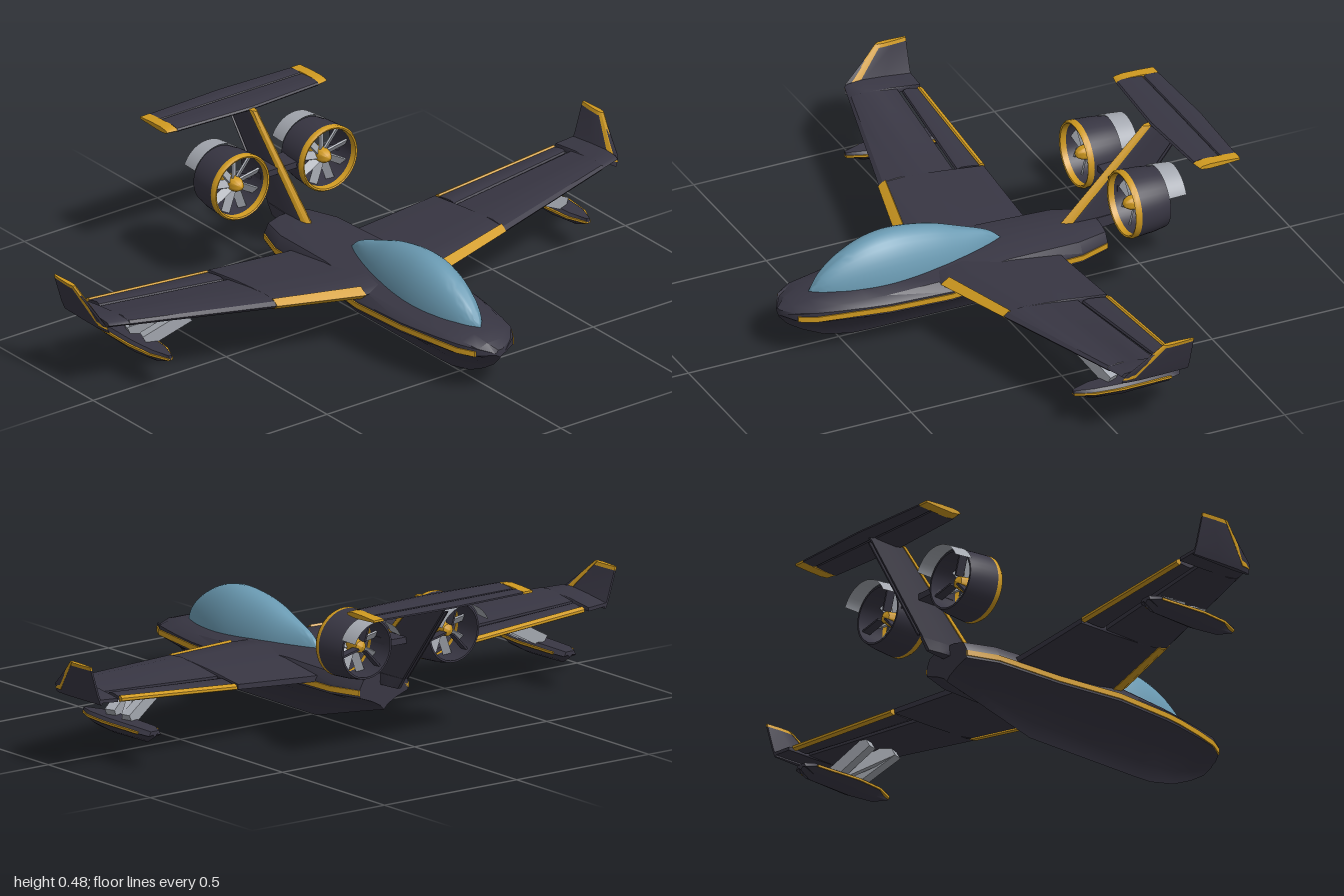
import * as THREE from 'three';
import { toCreasedNormals } from 'three/addons/utils/BufferGeometryUtils.js';

const mat = (name, color) => {
  const m = new THREE.MeshStandardMaterial({ color, side: THREE.DoubleSide });
  m.name = name;
  return m;
};

// Skin a list of equal-length closed rings of [x, y, z], with both ends capped
function loft(rings, crease = 0.6) {
  const n = rings[0].length, pos = rings.flat(2), idx = [];
  for (let i = 0; i < rings.length - 1; i++)
    for (let j = 0; j < n; j++) {
      const a = i * n + j, b = i * n + (j + 1) % n;
      idx.push(a, b, a + n, b, b + n, a + n);
    }
  [0, rings.length - 1].forEach((r, end) => {
    const c = pos.length / 3;
    pos.push(...[0, 1, 2].map(k => rings[r].reduce((s, p) => s + p[k], 0) / n));
    for (let j = 0; j < n; j++) {
      const a = r * n + j, b = r * n + (j + 1) % n;
      if (end) idx.push(a, b, c); else idx.push(b, a, c);
    }
  });
  // Turn the faces outward if the enclosed volume is negative
  const v = i => new THREE.Vector3().fromArray(pos, i * 3);
  let vol = 0;
  for (let i = 0; i < idx.length; i += 3) vol += v(idx[i]).dot(v(idx[i + 1]).cross(v(idx[i + 2])));
  if (vol < 0) idx.reverse();
  const g = new THREE.BufferGeometry();
  g.setAttribute('position', new THREE.Float32BufferAttribute(pos, 3));
  g.setIndex(idx);
  return toCreasedNormals(g, crease);
}

// Aerofoil outlines as [chord fraction, thickness fraction]
const FOIL = [[1, -0.2], [0.6, -0.4], [0.25, -0.5], [0.05, -0.3], [0, 0], [0.05, 0.3], [0.25, 0.5], [0.6, 0.42], [1, 0.2]];
const EDGE = [[0.13, -0.52], [0.05, -0.4], [-0.01, 0], [0.05, 0.4], [0.06, 0.46]];
const FIN_EDGE = [[0.16, -0.56], [0.05, -0.4], [-0.01, 0], [0.05, 0.4], [0.16, 0.56]];
// Level section (thickness in y) and upright section (thickness in z)
const level = (z, y, le, te, t, prof = FOIL, drop = 0) =>
  prof.map(([f, h]) => [le - (le - te) * f, y + h * t - drop * (le - te) * f, z]);
const upright = (y, z, le, te, t, prof = FOIL) =>
  prof.map(([f, h]) => [le - (le - te) * f, y, z + h * t]);

export function createModel() {
  const model = new THREE.Group();
  const dark = mat('darkPaint', 0x383643), yellow = mat('yellowTrim', 0xd09a20);
  const glass = mat('blueGlass', 0x6a9ab2), grey = mat('greyMetal', 0xa4a8b0);
  const add = (name, geo, m, parent = model) => {
    const mesh = new THREE.Mesh(geo, m);
    mesh.name = name;
    parent.add(mesh);
    return mesh;
  };

  // Flying-boat hull: x, keel height, half width, deck height
  const hull = [
    [-0.35, 0.09, 0.09, 0.205], [-0.25, 0.065, 0.125, 0.21], [-0.02, 0.005, 0.133, 0.215],
    [0.2, 0.005, 0.16, 0.21], [0.4, 0.005, 0.147, 0.2], [0.46, 0.007, 0.137, 0.198],
    [0.55, 0.027, 0.118, 0.193], [0.62, 0.06, 0.1, 0.185], [0.67, 0.092, 0.07, 0.17], [0.7, 0.125, 0.02, 0.152],
  ];
  add('hull', loft(hull.map(([x, k, w, d]) => {
    const c = 0.138, s = Math.min(0.168, d - 0.008);
    const half = [[0.16 * w, k + 0.32 * (c - k)], [0.5 * w, k + 0.66 * (c - k)], [w, c], [w, s], [0.85 * w, d - 0.012], [0.4 * w, d]];
    return [[0, k], ...half, ...half.map(([z, y]) => [-z, y]).reverse()].map(([z, y]) => [x, y, z]);
  })), dark);
  for (const s of [1, -1])
    add('hullStripe', loft(hull.slice(0, 9).map(([x, , w]) =>
      [[w + 0.004, 0.145], [w + 0.004, 0.162], [w - 0.01, 0.162], [w - 0.01, 0.145]].map(([z, y]) => [x, y - Math.max(0, x - 0.5) * 0.05, s * z]))), yellow);

  // Teardrop canopy: x, top height, half width
  const canopyLine = new THREE.CatmullRomCurve3([
    [-0.04, 0.212, 0.003], [0, 0.246, 0.022], [0.1, 0.285, 0.055], [0.2, 0.318, 0.076], [0.33, 0.335, 0.086],
    [0.42, 0.322, 0.079], [0.5, 0.286, 0.061], [0.56, 0.24, 0.036], [0.6, 0.19, 0.003],
  ].map(p => new THREE.Vector3(...p)));
  add('canopy', loft(canopyLine.getPoints(36).map(p => Array.from({ length: 21 }, (_, i) => {
    const a = Math.PI * i / 20;
    return [p.x, 0.18 + (p.y - 0.18) * Math.sin(a), p.z * Math.cos(a)];
  })), 1), glass);

  // Wing rules by span position
  const wingLE = z => 0.23 - 0.2625 * Math.max(0, z - 0.16);
  const wingY = z => 0.197 + 0.0625 * (z - 0.16);
  const wingT = z => 0.05 - 0.025 * z;
  const wingAt = (z, te, s, prof) => level(s * z, wingY(z), wingLE(z), te, wingT(z), prof, 0.06);
  const aileronAt = (z, le, te, s) => level(s * z, wingY(z) - 0.06 * (wingLE(z) - le), le, te, 0.02, FOIL, 0.06);

  for (const s of [1, -1]) {
    const side = new THREE.Group();
    side.name = s > 0 ? 'leftWingGroup' : 'rightWingGroup';
    model.add(side);
    // Wing with a cut-out for the aileron
    add('wing', loft([[0, -0.18], [0.16, -0.18], [0.425, -0.186], [0.427, -0.088], [0.888, -0.122], [0.89, -0.2], [0.955, -0.2]]
      .map(([z, te]) => wingAt(z, te, s))), dark, side);
    add('wingLeadingEdge', loft([0.15, 0.43].map(z => wingAt(z, -0.18, s, EDGE))), yellow, side);
    add('aileron', loft([aileronAt(0.434, -0.099, -0.18, s), aileronAt(0.875, -0.133, -0.187, s)]), dark, side);
    add('aileronTrim', loft([aileronAt(0.434, -0.176, -0.194, s), aileronAt(0.875, -0.183, -0.2, s)]), yellow, side);

    // Upturned winglet
    const tip = (y, z, le, prof, t = 0.016) => upright(y, s * z, le, -0.2, t, prof);
    add('winglet', loft([tip(0.222, 0.952, 0.02), tip(0.25, 0.964, 0.012), tip(0.334, 0.99, -0.09)]), dark, side);
    add('wingletCap', loft([tip(0.334, 0.99, -0.09), tip(0.345, 0.993, -0.1)]), yellow, side);
    add('wingletLeadingEdge', loft([tip(0.235, 0.958, 0.018, FIN_EDGE), tip(0.345, 0.993, -0.1, FIN_EDGE, 0.014)]), yellow, side);

    // Wing float: x, half width, top, bottom
    const float = [[-0.245, 0.022, 0.125, 0.106], [-0.21, 0.038, 0.13, 0.084], [-0.05, 0.044, 0.132, 0.08], [0.04, 0.034, 0.132, 0.088], [0.1, 0.007, 0.13, 0.112]];
    add('float', loft(float.map(([x, w, t, b]) => [[-w * 0.7, t], [-w, t - 0.014], [-w * 0.5, b + 0.012], [0, b], [w * 0.5, b + 0.012], [w, t - 0.014], [w * 0.7, t]]
      .map(([z, y]) => [x, y, s * 0.785 + z]))), dark, side);
    for (const e of [1, -1])
      add('floatTrim', loft(float.slice(1).map(([x, w, t]) => [[w + 0.002, t - 0.016], [w + 0.002, t - 0.009], [w - 0.008, t - 0.009], [w - 0.008, t - 0.016]]
        .map(([z, y]) => [x, y, s * 0.785 + e * z]))), yellow, side);

    // N-shaped float struts
    for (const [xTop, xLow, w] of [[0.02, -0.03, 0.034], [-0.08, -0.11, 0.03], [0.01, -0.1, 0.02]]) {
      const a = new THREE.Vector3(xTop, 0.203, s * 0.66), b = new THREE.Vector3(xLow, 0.132, s * 0.785);
      const strut = add('floatStrut', new THREE.BoxGeometry(w, 0.04, a.distanceTo(b)), grey, side);
      strut.position.copy(a).lerp(b, 0.5);
      strut.lookAt(b);
    }

    // Ducted fan, built along its own x axis
    const fan = new THREE.Group();
    fan.name = 'ductedFan';
    fan.position.set(0, 0.33, s * 0.165);
    model.add(fan);
    const lathe = pts => toCreasedNormals(new THREE.LatheGeometry(pts.map(p => new THREE.Vector2(...p)), 40).rotateZ(-Math.PI / 2), 0.7);
    add('duct', lathe([[0.088, -0.48], [0.094, -0.48], [0.101, -0.44], [0.105, -0.38], [0.093, -0.38], [0.092, -0.43], [0.088, -0.48]]), dark, fan);
    add('ductLip', lathe([[0.105, -0.38], [0.106, -0.368], [0.101, -0.36], [0.096, -0.362], [0.093, -0.38]]), yellow, fan);
    add('fanHub', lathe([[0, -0.46], [0.018, -0.45], [0.025, -0.41], [0.021, -0.385], [0.012, -0.37], [0, -0.364]]), yellow, fan);
    for (let i = 0; i < 9; i++) {
      const a = i / 9 * Math.PI * 2;
      const blade = add('fanBlade', new THREE.BoxGeometry(0.006, 0.072, 0.026).rotateY(0.6).translate(0, 0.057, 0), grey, fan);
      blade.position.x = -0.405;
      blade.rotation.x = a;
      if (i % 3 === 0) {
        const stator = add('stator', new THREE.BoxGeometry(0.03, 0.075, 0.006).translate(0, 0.055, 0), dark, fan);
        stator.position.x = -0.45;
        stator.rotation.x = a + 0.3;
      }
    }
    const deflector = add('thrustDeflector', new THREE.CylinderGeometry(0.1, 0.094, 0.06, 20, 1, true, 1.5 * Math.PI - 1.17, 2.34).rotateZ(-Math.PI / 2), grey, fan);
    deflector.position.x = -0.505;
    add('fanPylon', new THREE.BoxGeometry(0.08, 0.02, 0.07), dark).position.set(-0.43, 0.33, s * 0.04);

    // Tailplane half with elevator and tip
    const tail = (z, le, te, t = 0.018) => level(s * z, 0.477, le, te, t);
    add('tailplane', loft([tail(0, -0.535, -0.636), tail(0.265, -0.55, -0.636)]), dark);
    add('elevator', loft([tail(0, -0.64, -0.7, 0.012), tail(0.265, -0.64, -0.69, 0.012)]), dark);
    add('tailplaneTip', loft([tail(0.265, -0.55, -0.69), tail(0.3, -0.556, -0.69, 0.016)]), yellow);
  }

  // Swept fin, rudder and tail stub
  add('fin', loft([upright(0.195, 0, -0.225, -0.44, 0.024), upright(0.475, 0, -0.505, -0.66, 0.018)]), dark);
  add('finLeadingEdge', loft([upright(0.195, 0, -0.225, -0.44, 0.025, FIN_EDGE), upright(0.48, 0, -0.51, -0.66, 0.019, FIN_EDGE)]), yellow);
  add('rudder', loft([upright(0.21, 0, -0.459, -0.467, 0.012), upright(0.455, 0, -0.65, -0.662, 0.012)]), dark);
  add('tailStub', loft([upright(0.17, 0, -0.33, -0.425, 0.03), upright(0.205, 0, -0.3, -0.45, 0.026)]), dark);
  return model;
}
